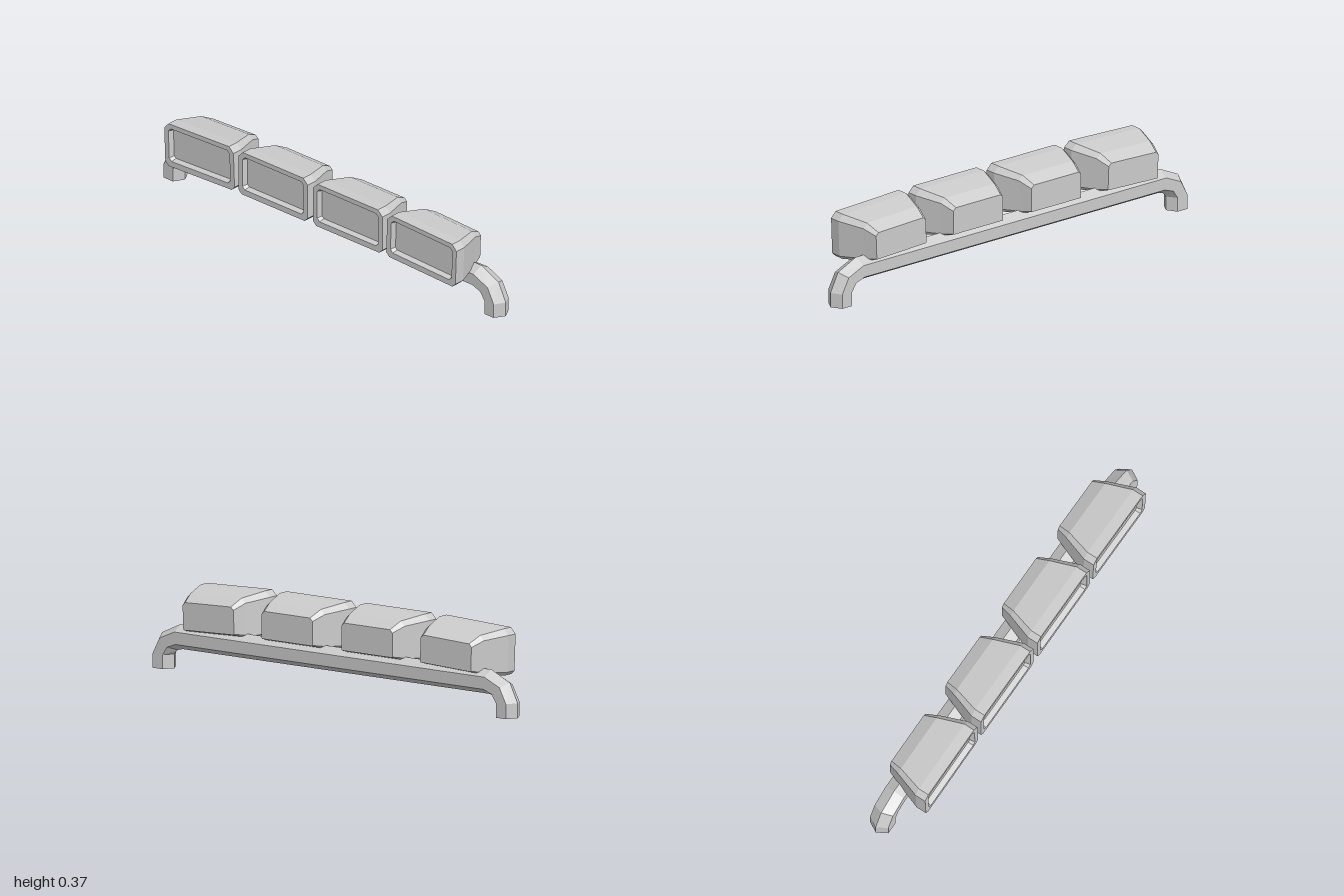
import * as THREE from 'three';

const material = new THREE.MeshStandardMaterial({ color: 0xcccccc, flatShading: true });
const openMaterial = new THREE.MeshStandardMaterial({ color: 0xcccccc, flatShading: true, side: THREE.DoubleSide });

// Joins matching rings of points into a flat-shaded skin
function loft(rings, capped) {
  const pos = [];
  const tri = (...pts) => pts.forEach((p) => pos.push(...p));
  const n = rings[0].length;
  for (let i = 0; i < rings.length - 1; i++) {
    const a = rings[i], b = rings[i + 1];
    for (let j = 0; j < n; j++) {
      const k = (j + 1) % n;
      tri(a[j], a[k], b[k]);
      tri(a[j], b[k], b[j]);
    }
  }
  if (capped) {
    const first = rings[0], last = rings[rings.length - 1];
    for (let j = 1; j < n - 1; j++) {
      tri(first[0], first[j + 1], first[j]);
      tri(last[0], last[j], last[j + 1]);
    }
  }
  const g = new THREE.BufferGeometry();
  g.setAttribute('position', new THREE.Float32BufferAttribute(pos, 3));
  g.computeVertexNormals();
  return g;
}

// Rectangle with cut corners, counter-clockwise seen from the front
function section(z, w, bottom, top, cutBottom, cutTop) {
  const b = cutBottom, t = cutTop;
  return [
    [w, bottom + b, z], [w, top - t, z], [w - t, top, z], [-w + t, top, z],
    [-w, top - t, z], [-w, bottom + b, z], [-w + b, bottom, z], [w - b, bottom, z],
  ];
}

// Lamp housing from back to front rim, then into the recessed lens
function lampGeometry() {
  return loft([
    section(-0.115, 0.14, -0.067, 0.056, 0.003, 0.014),
    section(-0.055, 0.161, -0.085, 0.087, 0.01, 0.021),
    section(0.065, 0.204, -0.104, 0.104, 0.018, 0.026),
    section(0.115, 0.204, -0.104, 0.104, 0.018, 0.026),
    section(0.115, 0.18, -0.077, 0.082, 0.014, 0.014),
    section(0.09, 0.173, -0.07, 0.075, 0.01, 0.01),
  ], true);
}

// Hexagonal bar with bent legs: x, y and the angle of the outward direction
function barGeometry() {
  const half = [[0.945, 0, 0], [0.945, 0.065, 0.03], [0.915, 0.118, 0.68], [0.85, 0.145, 1.45]];
  const path = [...half, ...half.map(([x, y, a]) => [-x, y, Math.PI - a]).reverse()];
  const r = 0.055;
  return loft(path.map(([x, y, a]) => Array.from({ length: 6 }, (_, k) => {
    const t = (k * Math.PI) / 3, d = r * Math.cos(t);
    return [x + d * Math.cos(a), y + d * Math.sin(a), -0.051 - r * Math.sin(t)];
  })), false);
}

export function createModel() {
  const group = new THREE.Group();
  group.name = 'lightBar';

  const bar = new THREE.Mesh(barGeometry(), openMaterial);
  bar.name = 'mountingBar';
  group.add(bar);

  // Two level inner lamps and two outer lamps leaning outwards
  const lamp = lampGeometry();
  for (const side of [1, -1]) {
    const inner = new THREE.Mesh(lamp, material);
    inner.name = side > 0 ? 'innerLampLeft' : 'innerLampRight';
    inner.position.set(side * 0.22, 0.27, 0);
    const outer = new THREE.Mesh(lamp, material);
    outer.name = side > 0 ? 'outerLampLeft' : 'outerLampRight';
    outer.position.set(side * 0.654, 0.263, 0);
    outer.rotation.z = -side * 0.038;
    group.add(inner, outer);
  }
  return group;
}
